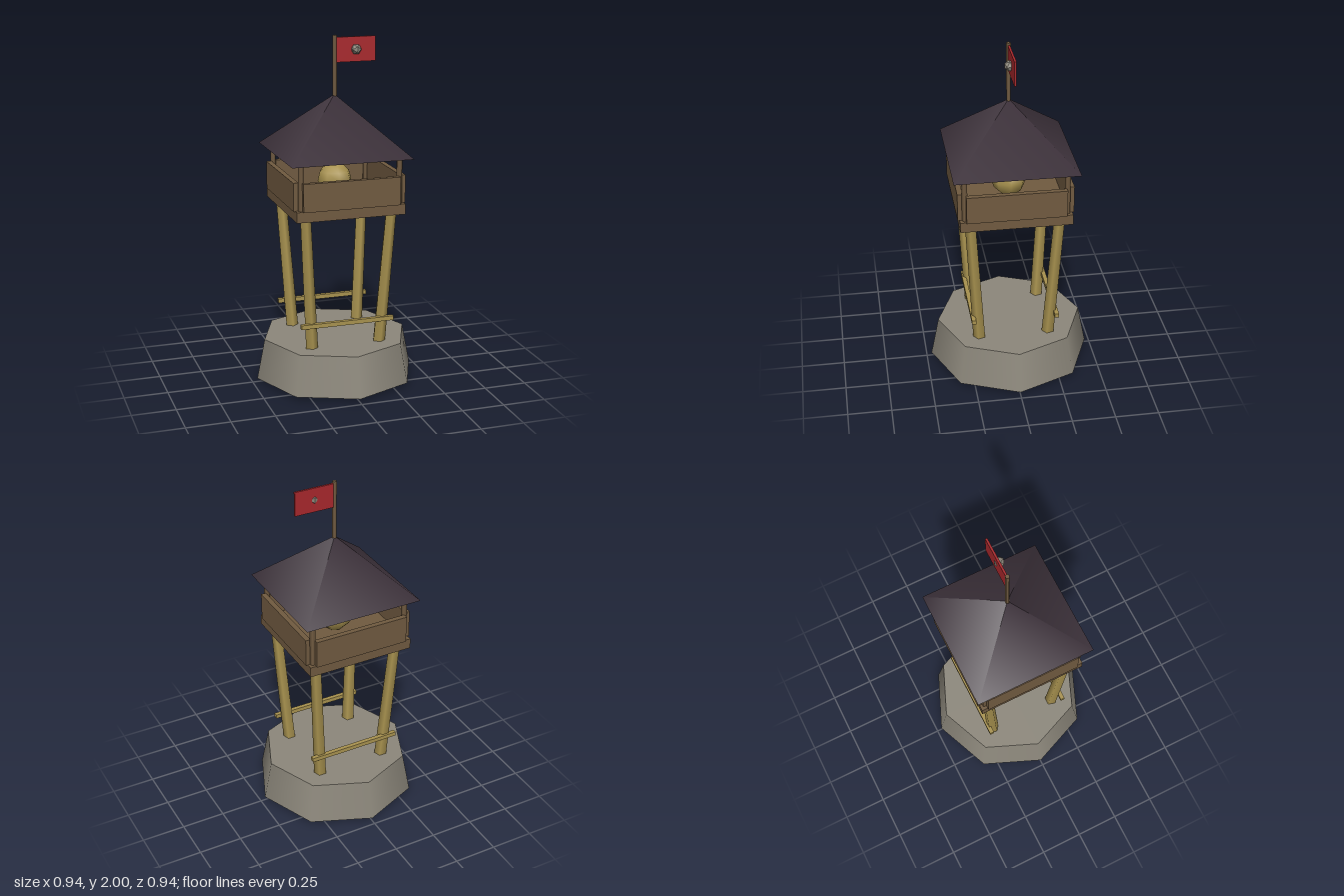
import * as THREE from 'three';

const mat = (name, color) => {
  const m = new THREE.MeshStandardMaterial({ color });
  m.name = name;
  return m;
};

export function createModel() {
  const model = new THREE.Group();
  model.name = 'watchtower';

  const stone = mat('stone', 0x8c877b);
  const paleWood = mat('pale wood', 0xa8924f);
  const darkWood = mat('dark wood', 0x705a40);
  const slate = mat('roof slate', 0x3c313a);
  const red = mat('flag red', 0xa8282c);
  const emblemStone = stone.clone();
  emblemStone.name = 'faceted stone';
  emblemStone.flatShading = true;

  const add = (name, geometry, material, x = 0, y = 0, z = 0) => {
    const mesh = new THREE.Mesh(geometry, material);
    mesh.name = name;
    mesh.position.set(x, y, z);
    model.add(mesh);
    return mesh;
  };
  const box = (name, w, h, d, material, x, y, z) =>
    add(name, new THREE.BoxGeometry(w, h, d), material, x, y, z);

  // Eight-sided stone footing
  add('footing', new THREE.CylinderGeometry(0.425, 0.472, 0.235, 8), stone, 0, 0.1375, 0);

  // Splayed legs, sheared so their ends stay level, and roof posts above them
  for (const sx of [-1, 1]) {
    for (const sz of [-1, 1]) {
      const leg = new THREE.CylinderGeometry(0.032, 0.039, 1.04, 5);
      const lean = 0.061;
      leg.applyMatrix4(new THREE.Matrix4().set(
        1, sx * lean, 0, 0,
        0, 1, 0, 0,
        0, sz * lean, 1, 0,
        0, 0, 0, 1
      ));
      add('leg', leg, paleWood, sx * 0.219, 0.52, sz * 0.219);
      add('roofPost', new THREE.CylinderGeometry(0.017, 0.017, 0.28, 5), darkWood,
        sx * 0.285, 1.215, sz * 0.285);
    }
  }

  // Cross bars at front and back
  for (const s of [-1, 1]) box('crossBar', 0.55, 0.025, 0.025, paleWood, 0, 0.398, s * 0.242);

  // Platform and the four parapet walls with open corners
  box('platform', 0.63, 0.06, 0.63, darkWood, 0, 1.057, 0);
  for (const s of [-1, 1]) {
    box('parapet', 0.56, 0.16, 0.03, darkWood, 0, 1.165, s * 0.31);
    box('parapet', 0.03, 0.16, 0.56, darkWood, s * 0.31, 1.165, 0);
  }

  // Rounded bundle on the platform
  add('bundle', new THREE.SphereGeometry(0.1, 8, 6), paleWood, 0, 1.18, 0);

  // Pyramid roof
  const roof = new THREE.ConeGeometry(0.35 * Math.SQRT2, 0.325, 4);
  roof.rotateY(Math.PI / 4);
  add('roof', roof, slate, 0, 1.5075, 0);

  // Flag pole, flag and faceted boss
  add('flagPole', new THREE.CylinderGeometry(0.013, 0.013, 0.38, 5), darkWood, 0, 1.81, 0);
  box('flag', 0.23, 0.14, 0.012, red, 0.125, 1.918, 0);
  add('flagBoss', new THREE.IcosahedronGeometry(0.031, 0), emblemStone, 0.123, 1.918, 0.014);

  return model;
}
